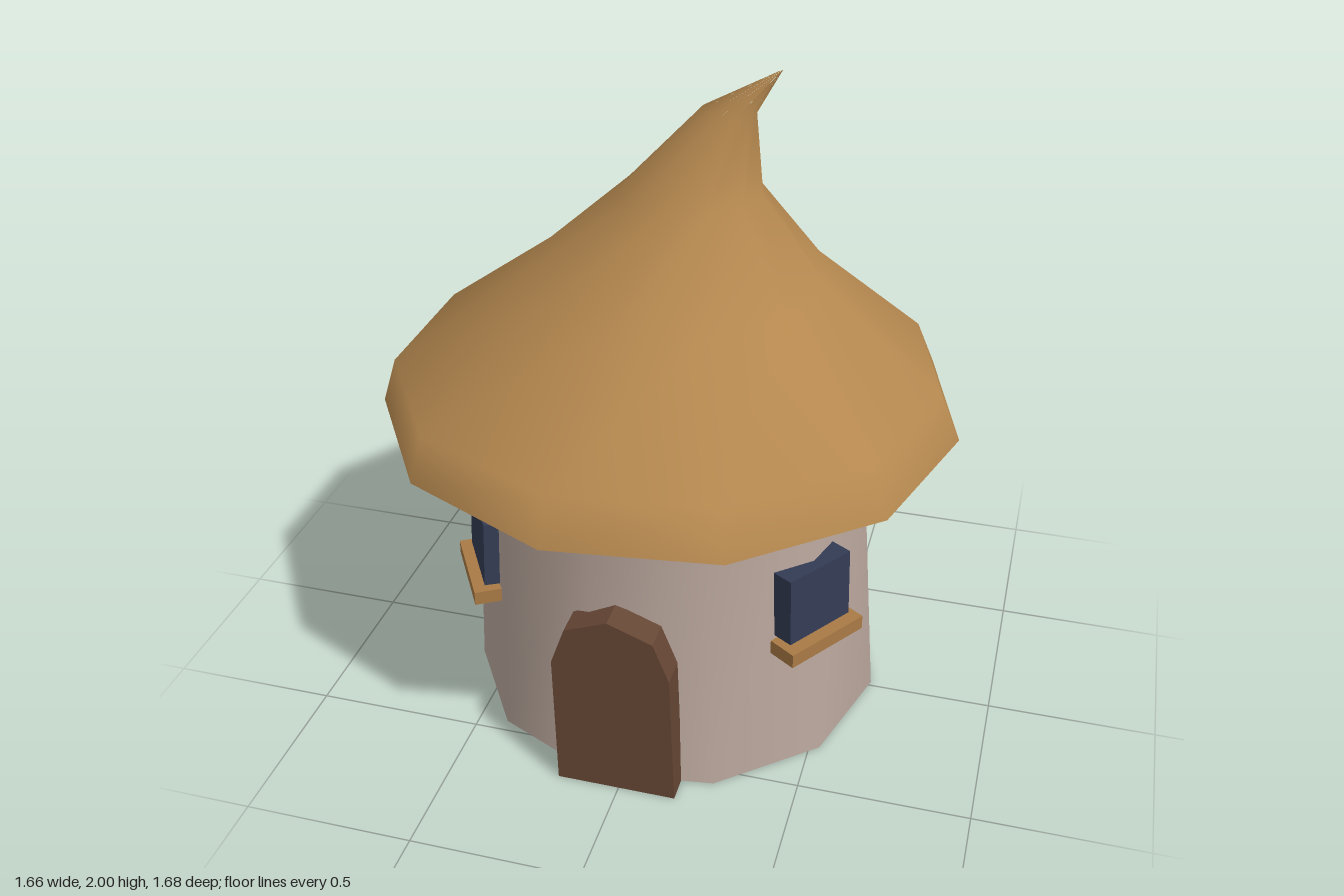
import * as THREE from 'three';

const SIDES = 11;

function material(name, color, extra = {}) {
  const m = new THREE.MeshStandardMaterial({ color, ...extra });
  m.name = name;
  return m;
}

// Skin through rings of [y, radius, centreX, centreZ, tilt]; smooth around, with a flat floor
function loft(rings) {
  const pos = [], index = [];
  for (const [y, r, cx, cz, tilt = 0] of rings) {
    for (let j = 0; j < SIDES; j++) {
      const a = (j / SIDES) * Math.PI * 2;
      pos.push(cx + r * Math.cos(a), y - tilt * Math.cos(a), cz + r * Math.sin(a));
    }
  }
  for (let i = 0; i < rings.length - 1; i++) {
    for (let j = 0; j < SIDES; j++) {
      const k = (j + 1) % SIDES;
      const a = i * SIDES + j, b = i * SIDES + k;
      index.push(a, a + SIDES, b);
      if (rings[i + 1][1] > 0.002) index.push(b, a + SIDES, b + SIDES);
    }
  }
  // Floor uses its own vertices so its rim stays sharp
  const base = pos.length / 3;
  for (let j = 0; j < SIDES * 3; j++) pos.push(pos[j]);
  for (let j = 1; j < SIDES - 1; j++) index.push(base, base + j, base + j + 1);
  const g = new THREE.BufferGeometry();
  g.setAttribute('position', new THREE.Float32BufferAttribute(pos, 3));
  g.setIndex(index);
  g.computeVertexNormals();
  return g;
}

export function createModel() {
  const group = new THREE.Group();
  group.name = 'hut';

  const plaster = material('plaster', 0xbaa79d);
  const thatch = material('thatch', 0xb5884f);
  const doorWood = material('doorWood', 0x664735, { flatShading: true });
  const glass = material('windowGlass', 0x343c55, { flatShading: true });
  const sillWood = material('sillWood', 0xa97a45, { flatShading: true });

  const add = (name, geometry, mat, parent = group) => {
    const mesh = new THREE.Mesh(geometry, mat);
    mesh.name = name;
    parent.add(mesh);
    return mesh;
  };

  // Tapered round wall
  add('wall', loft([
    [0, 0.63, 0, -0.015],
    [0.945, 0.572, -0.015, 0.005],
  ]), plaster);

  // Thatched roof, leaning into a bent tip
  add('roof', loft([
    [0.94, 0.847, -0.017, 0, 0.008],
    [1.075, 0.797, -0.025, 0.005, 0.006],
    [1.37, 0.434, 0.0, 0.015],
    [1.63, 0.2, 0.052, 0.043],
    [1.87, 0.077, 0.155, 0.058],
    [2.0, 0.001, 0.302, 0.085],
  ]), thatch);

  // Arched door
  const arch = [[-0.183, 0], [0.168, 0], [0.156, 0.43], [0.11, 0.55],
    [-0.02, 0.6], [-0.145, 0.55], [-0.187, 0.43]];
  const shape = new THREE.Shape(arch.map(([x, y]) => new THREE.Vector2(x, y)));
  const door = add('door', new THREE.ExtrudeGeometry(shape, { depth: 0.088, bevelEnabled: false }), doorWood);
  door.position.z = 0.558;
  door.rotation.x = 0.02;

  // Two windows with sills, turned to follow the wall
  for (const [name, degrees, lift] of [['leftWindow', 34, 0], ['rightWindow', 149, 0.01]]) {
    const a = THREE.MathUtils.degToRad(degrees);
    const win = new THREE.Group();
    win.name = name;
    win.rotation.y = Math.PI / 2 - a;
    win.position.y = lift;
    const pane = add(name + 'Pane', new THREE.BoxGeometry(0.233, 0.21, 0.085), glass, win);
    pane.position.set(0, 0.563, 0.576);
    pane.rotation.x = -0.04;
    const sill = add(name + 'Sill', new THREE.BoxGeometry(0.279, 0.043, 0.09), sillWood, win);
    sill.position.set(0, 0.433, 0.612);
    group.add(win);
  }

  return group;
}
